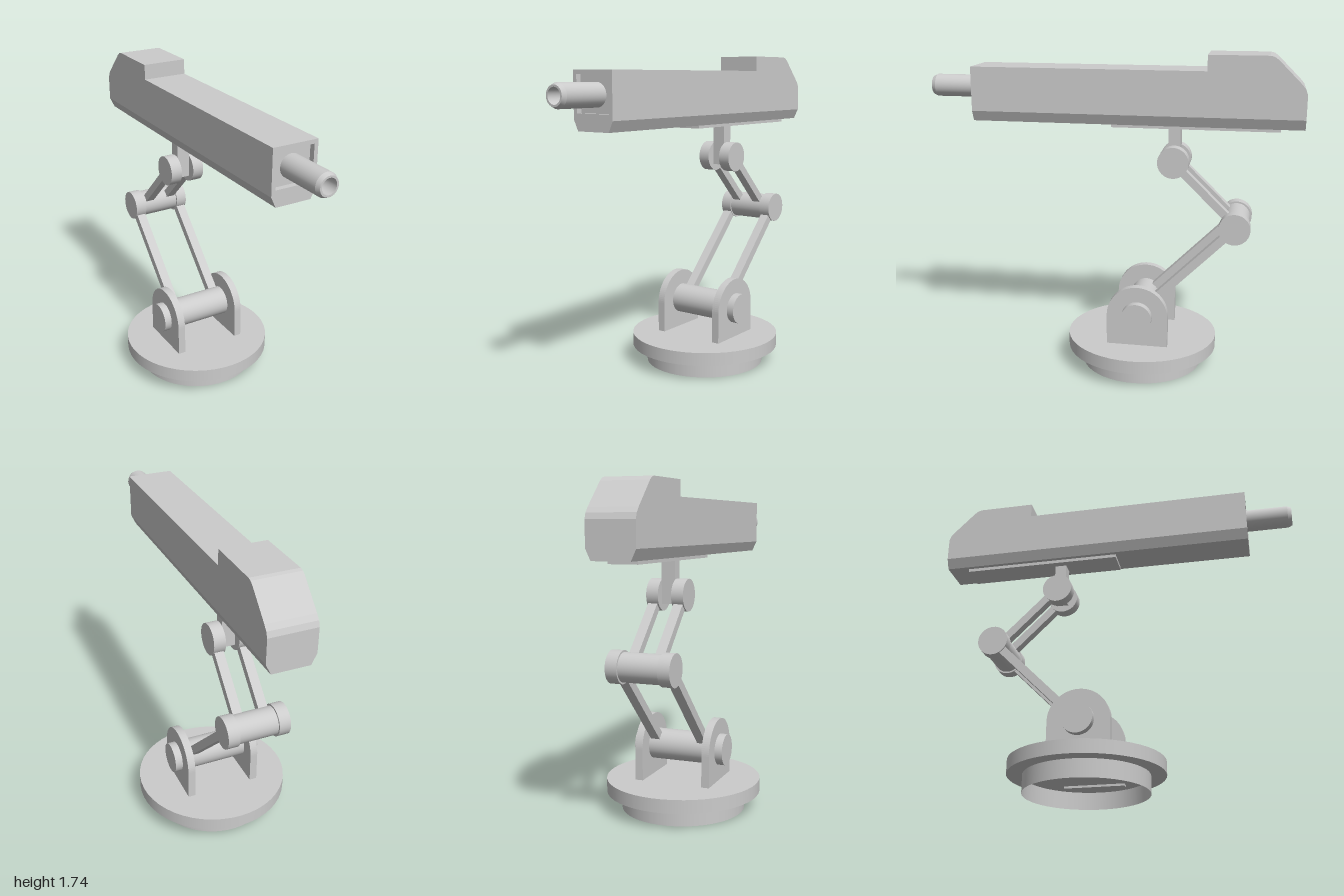
import * as THREE from 'three';

const mat = new THREE.MeshStandardMaterial({ color: 0xcccccc });
const flat = new THREE.MeshStandardMaterial({ color: 0xcccccc, flatShading: true });
const thin = new THREE.MeshStandardMaterial({ color: 0xcccccc, side: THREE.DoubleSide });

// joint centres
const BASE_Z = -0.165;
const SHOULDER = { y: 0.335, z: BASE_Z };
const ELBOW = { y: 0.84, z: -0.668 };
const WRIST = { y: 1.168, z: -0.332 };

function add(parent, name, geometry, x, y, z, material = mat) {
  const mesh = new THREE.Mesh(geometry, material);
  mesh.name = name;
  mesh.position.set(x, y, z);
  parent.add(mesh);
  return mesh;
}

// cylinder lying along x
function pin(parent, name, radius, x0, x1, joint) {
  const geo = new THREE.CylinderGeometry(radius, radius, x1 - x0, 40).rotateZ(Math.PI / 2);
  return add(parent, name, geo, (x0 + x1) / 2, joint.y, joint.z);
}

// square bar between two joints, centred on x
function bar(parent, name, x, width, thick, from, to) {
  const dy = to.y - from.y, dz = to.z - from.z;
  const geo = new THREE.BoxGeometry(width, Math.hypot(dy, dz), thick);
  const mesh = add(parent, name, geo, x, (from.y + to.y) / 2, (from.z + to.z) / 2);
  mesh.rotation.x = Math.atan2(dz, dy);
  return mesh;
}

// housing cross-section, counter-clockwise seen from the front
const section = (top) => [
  [-0.097, 1.363], [0.097, 1.363], [0.123, 1.418],
  [0.123, top], [-0.123, top], [-0.123, 1.418],
];

// skin the cross-section along z, with the top height varying
function housingGeometry(stations) {
  const rings = stations.map(([z, top]) => section(top).map(([x, y]) => [x, y, z]));
  const pos = [];
  const tri = (a, b, c) => pos.push(...a, ...b, ...c);
  for (let i = 0; i < rings.length - 1; i++) {
    for (let j = 0; j < 6; j++) {
      const k = (j + 1) % 6;
      tri(rings[i][j], rings[i + 1][j], rings[i][k]);
      tri(rings[i][k], rings[i + 1][j], rings[i + 1][k]);
    }
  }
  const first = rings[0], last = rings[rings.length - 1];
  for (let j = 1; j < 5; j++) {
    tri(first[0], first[j], first[j + 1]);
    tri(last[0], last[j + 1], last[j]);
  }
  const geo = new THREE.BufferGeometry();
  geo.setAttribute('position', new THREE.Float32BufferAttribute(pos, 3));
  geo.computeVertexNormals();
  return geo;
}

function buildBase() {
  const g = new THREE.Group();
  g.name = 'base';
  add(g, 'baseSkirt', new THREE.CylinderGeometry(0.333, 0.333, 0.096, 48, 1, true), 0, 0.048, BASE_Z, thin);
  add(g, 'baseDisc', new THREE.CylinderGeometry(0.415, 0.415, 0.072, 48), 0, 0.131, BASE_Z);

  // round-topped upright brackets
  const r = 0.166;
  const shape = new THREE.Shape();
  shape.moveTo(-r, 0.083);
  shape.lineTo(r, 0.083);
  shape.lineTo(r, SHOULDER.y);
  shape.absarc(0, SHOULDER.y, r, 0, Math.PI, false);
  shape.closePath();
  const geo = new THREE.ExtrudeGeometry(shape, { depth: 0.042, bevelEnabled: false, curveSegments: 24 });
  geo.translate(0, 0, -0.021).rotateY(Math.PI / 2);
  for (const s of [-1, 1]) add(g, 'bracket', geo, s * 0.188, 0, BASE_Z);
  pin(g, 'shoulderPin', 0.083, -0.25, 0.25, SHOULDER);
  return g;
}

function buildArm() {
  const g = new THREE.Group();
  g.name = 'arm';
  pin(g, 'elbowPin', 0.074, -0.11, 0.11, ELBOW);
  for (const s of [-1, 1]) {
    bar(g, 'lowerArmBar', s * 0.134, 0.052, 0.045, SHOULDER, ELBOW);
    bar(g, 'upperArmBar', s * 0.069, 0.05, 0.042, ELBOW, WRIST);
    const caps = (a, b) => (s > 0 ? [a, b] : [-b, -a]);
    pin(g, 'elbowCap', 0.083, ...caps(0.105, 0.167), ELBOW);
    pin(g, 'wristCap', 0.083, ...caps(0.036, 0.1), WRIST);
  }
  add(g, 'stem', new THREE.BoxGeometry(0.072, 0.23, 0.064), 0, 1.237, WRIST.z);
  return g;
}

function buildHead() {
  const g = new THREE.Group();
  g.name = 'head';
  add(g, 'mountPlate', new THREE.BoxGeometry(0.15, 0.02, 0.88), 0, 1.355, -0.44);

  // long housing with a raised, sloping rear
  const recess = 0.03;
  add(g, 'housing', housingGeometry([
    [0.75 - recess, 1.653], [-0.5, 1.653], [-0.5, 1.735], [-0.81, 1.735],
    [-0.83, 1.73], [-0.85, 1.716], [-0.97, 1.597], [-0.99, 1.573], [-1, 1.545],
  ]), 0, 0, 0, flat);

  // frame around the recessed front panel
  const frame = new THREE.Shape(section(1.653).map(([x, y]) => new THREE.Vector2(x, y)));
  frame.holes.push(new THREE.Path([
    [-0.102, 1.448], [-0.102, 1.632], [0.102, 1.632], [0.102, 1.448],
  ].map(([x, y]) => new THREE.Vector2(x, y))));
  add(g, 'frontFrame', new THREE.ExtrudeGeometry(frame, { depth: recess, bevelEnabled: false }), 0, 0, 0.75 - recess);

  // hollow barrel with a chamfered muzzle; each corner is split for crisp edges
  const corners = [[0.06, 0.7], [0.06, 0.978], [0.05, 1], [0.04, 1], [0.04, 0.85], [0, 0.85]];
  const barrel = new THREE.Group();
  barrel.name = 'barrel';
  for (let i = 0; i < corners.length - 1; i++) {
    const pts = [corners[i], corners[i + 1]].map(([r, z]) => new THREE.Vector2(r, z));
    add(barrel, 'barrelSurface', new THREE.LatheGeometry(pts, 32).rotateX(Math.PI / 2), 0, 1.537, 0, thin);
  }
  g.add(barrel);
  return g;
}

export function createModel() {
  const model = new THREE.Group();
  model.name = 'armMountedDevice';
  model.add(buildBase(), buildArm(), buildHead());
  return model;
}
